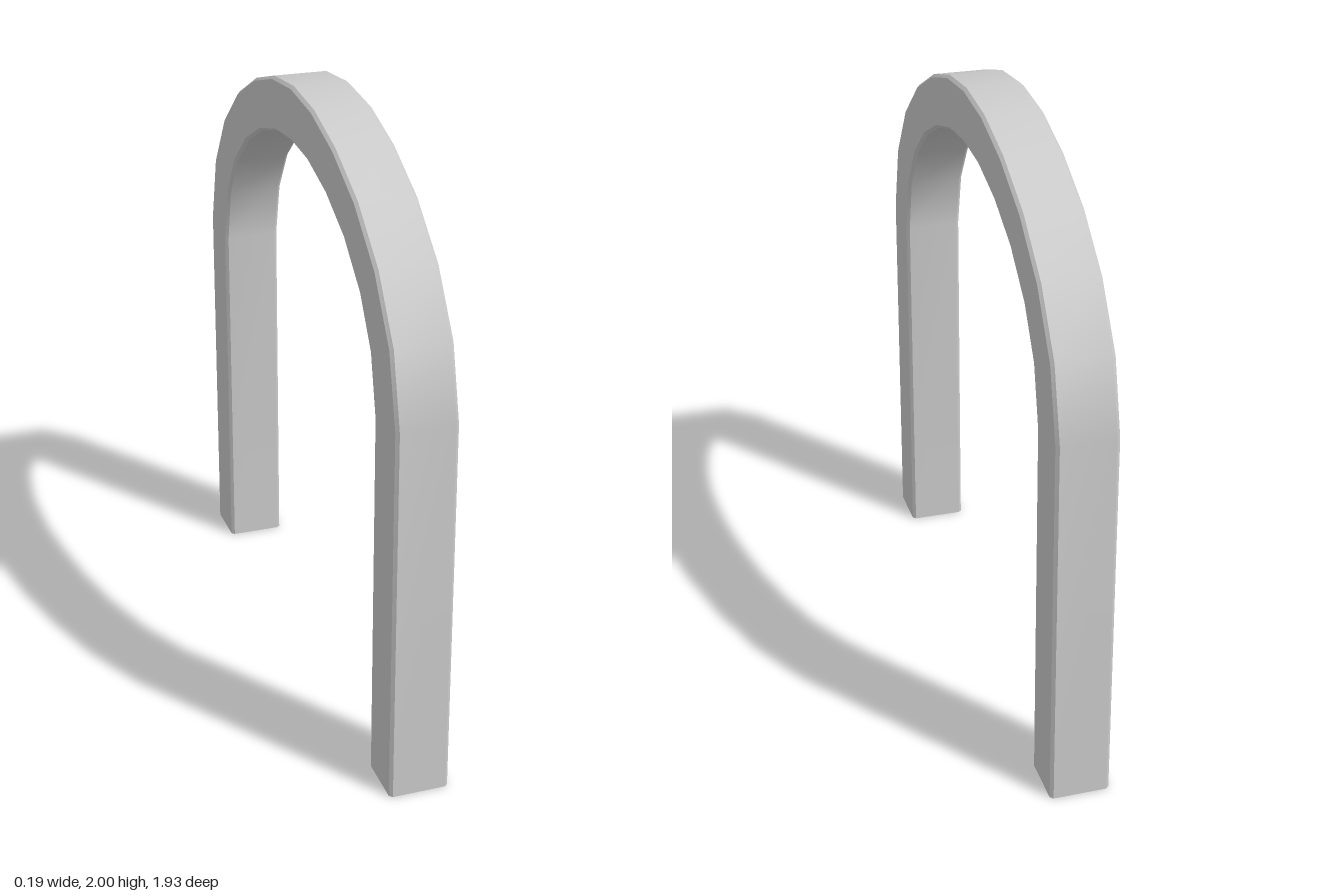
import * as THREE from 'three';

// Half outline of the arch as [z, y], from the foot to the crown
const OUTER = [[0.967, 0], [0.967, 1.25], [0.907, 1.485], [0.777, 1.675], [0.6, 1.82], [0.4, 1.92], [0.2, 1.98], [0, 2]];
const INNER = [[0.785, 0], [0.785, 1.22], [0.74, 1.41], [0.645, 1.555], [0.503, 1.675], [0.338, 1.757], [0.165, 1.806], [0, 1.82]];

// Chamfered square section as [x, depth from outer (0) to inner (1)]
const W = 0.097, B = 0.01, C = 0.055;
const SECTION = [
  [W - B, 0], [B - W, 0], [-W, C], [-W, 1 - C],
  [B - W, 1], [W - B, 1], [W, 1 - C], [W, C],
];

const mirror = (half) => [...half, ...half.slice(0, -1).reverse().map(([z, y]) => [-z, y])];

function archGeometry() {
  const outer = mirror(OUTER), inner = mirror(INNER);
  const n = outer.length, m = SECTION.length;
  const position = [], index = [];
  const addPoint = (i, k) => {
    const [x, t] = SECTION[k % m];
    position.push(x,
      THREE.MathUtils.lerp(outer[i][1], inner[i][1], t),
      THREE.MathUtils.lerp(outer[i][0], inner[i][0], t));
  };

  // One strip per section side: smooth along the arch, sharp across it
  for (let k = 0; k < m; k++) {
    const base = position.length / 3;
    for (let i = 0; i < n; i++) {
      addPoint(i, k);
      addPoint(i, k + 1);
      if (i === n - 1) continue;
      const a = base + 2 * i;
      index.push(a, a + 2, a + 1, a + 1, a + 2, a + 3);
    }
  }

  // Flat soles under both feet
  for (const i of [0, n - 1]) {
    const base = position.length / 3;
    for (let k = 0; k < m; k++) addPoint(i, k);
    for (let k = 1; k < m - 1; k++) {
      if (i === 0) index.push(base, base + k, base + k + 1);
      else index.push(base, base + k + 1, base + k);
    }
  }

  const geometry = new THREE.BufferGeometry();
  geometry.setAttribute('position', new THREE.Float32BufferAttribute(position, 3));
  geometry.setIndex(index);
  geometry.computeVertexNormals();
  return geometry;
}

export function createModel() {
  const group = new THREE.Group();
  group.name = 'archway';
  const arch = new THREE.Mesh(archGeometry(), new THREE.MeshStandardMaterial({ color: 0xcccccc }));
  arch.name = 'arch';
  group.add(arch);
  return group;
}
